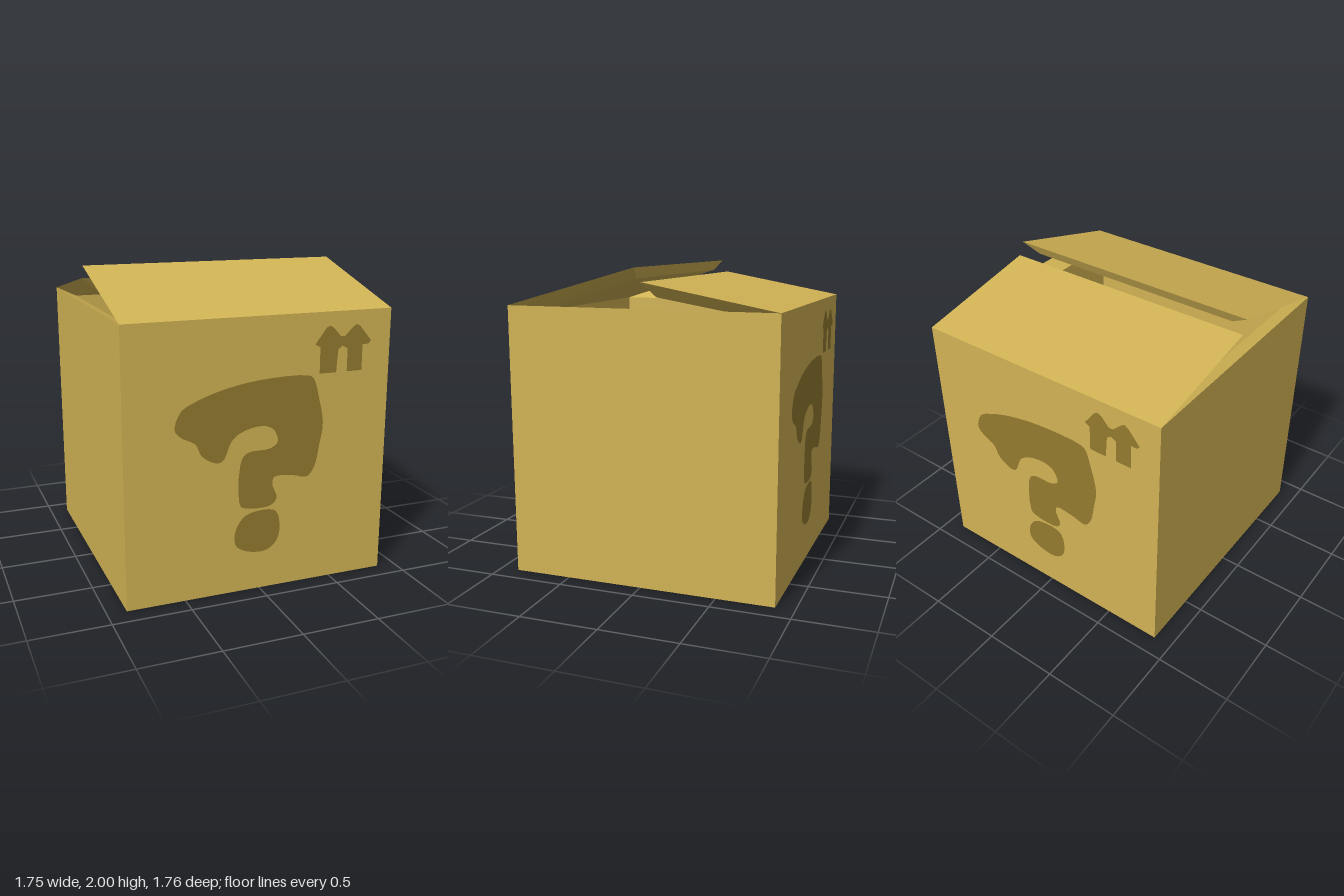
import * as THREE from 'three';

const OUT = 0.877, IN = 0.76, RIM = 1.757, INNER_RIM = 1.705, FLOOR = 0.12;

// four corners, counter-clockwise from above; front and back edges have their own height
const ring = (x, zFront, yFront, zBack = -zFront, yBack = yFront) => [
  [x, yFront, zFront], [x, yBack, zBack], [-x, yBack, zBack], [-x, yFront, zFront],
];

// flat-faced solid lofted through four-cornered rings, capped at both ends
function loft(rings) {
  const pos = [];
  const quad = (a, b, c, d) => [a, b, c, a, c, d].forEach((p) => pos.push(...p));
  quad(...[...rings[0]].reverse());
  for (let r = 0; r < rings.length - 1; r++) {
    const a = rings[r], b = rings[r + 1];
    for (let i = 0; i < 4; i++) {
      const j = (i + 1) % 4;
      quad(a[i], a[j], b[j], b[i]);
    }
  }
  quad(...rings[rings.length - 1]);
  const g = new THREE.BufferGeometry();
  g.setAttribute('position', new THREE.Float32BufferAttribute(pos, 3));
  g.computeVertexNormals();
  return g;
}

// rounded outline through points, or straight-edged when not smooth
function outline(points, smooth) {
  let pts = points.map(([x, y]) => new THREE.Vector2(x, y));
  if (smooth) {
    const curve = new THREE.CatmullRomCurve3(
      pts.map((p) => new THREE.Vector3(p.x, p.y, 0)), true, 'centripetal');
    pts = curve.getPoints(120).slice(0, -1).map((p) => new THREE.Vector2(p.x, p.y));
  }
  return new THREE.ShapeGeometry(new THREE.Shape(pts));
}

const HOOK = [
  [0.31, 1.37], [0, 1.37], [-0.25, 1.33], [-0.42, 1.275], [-0.52, 1.22], [-0.56, 1.11],
  [-0.52, 1.06], [-0.43, 1.01], [-0.39, 0.93], [-0.29, 0.875], [-0.25, 0.89], [-0.2, 1.0],
  [-0.14, 1.05], [0, 1.08], [0.08, 1.05], [0.11, 0.97], [0.06, 0.93], [-0.085, 0.92],
  [-0.13, 0.88], [-0.14, 0.585], [-0.11, 0.56], [0.07, 0.555], [0.11, 0.6], [0.08, 0.69],
  [0.09, 0.74], [0.22, 0.735], [0.32, 0.715], [0.37, 0.78], [0.4, 0.92], [0.42, 1.05],
  [0.385, 1.23], [0.345, 1.35],
];
const DOT = [
  [-0.085, 0.515], [0.1, 0.515], [0.135, 0.4], [0.11, 0.305], [0.04, 0.255],
  [-0.085, 0.265], [-0.16, 0.31], [-0.175, 0.37], [-0.15, 0.455],
];
const ARROWS = [
  [0.425, 1.66], [0.45, 1.67], [0.475, 1.655], [0.525, 1.6], [0.555, 1.6], [0.61, 1.655],
  [0.635, 1.67], [0.66, 1.655], [0.74, 1.56], [0.72, 1.54], [0.68, 1.54], [0.68, 1.375],
  [0.575, 1.375], [0.575, 1.52], [0.54, 1.54], [0.51, 1.52], [0.5, 1.375], [0.385, 1.375],
  [0.385, 1.54], [0.35, 1.56],
];

export function createModel() {
  const cardboard = new THREE.MeshStandardMaterial({ name: 'cardboard', color: 0xd1b354 });
  const print = new THREE.MeshStandardMaterial({ name: 'brown print', color: 0x947b2f });
  const model = new THREE.Group();
  model.name = 'cardboardBox';
  const add = (parent, name, geometry, material) => {
    const mesh = new THREE.Mesh(geometry, material);
    mesh.name = name;
    parent.add(mesh);
    return mesh;
  };

  // open body: outside walls, rim, inside walls, floor
  add(model, 'boxBody', loft([
    ring(OUT, OUT, 0), ring(OUT, OUT, RIM), ring(IN, IN, INNER_RIM), ring(IN, IN, FLOOR),
  ]), cardboard);

  // half-open flaps with bevelled undersides
  add(model, 'frontFlap', loft([
    ring(IN, IN, INNER_RIM, 0.05, 1.93), ring(OUT, OUT, RIM, 0.015, 2.0),
  ]), cardboard);
  add(model, 'backFlap', loft([
    ring(IN, -0.08, 1.82, -IN, INNER_RIM), ring(OUT, -0.025, 1.915, -OUT, RIM),
  ]), cardboard);

  // printed marks on the front and back walls
  const marks = {
    hookMark: outline(HOOK, true),
    dotMark: outline(DOT, true),
    upArrows: outline(ARROWS, false),
  };
  for (const [side, turn] of [['front', 0], ['back', Math.PI]]) {
    const group = new THREE.Group();
    group.name = side + 'Print';
    group.rotation.y = turn;
    for (const [name, geometry] of Object.entries(marks)) {
      add(group, name, geometry, print).position.z = OUT + 0.003;
    }
    model.add(group);
  }

  // two printed stripes on the floor inside
  for (const x of [-0.64, -0.4]) {
    const stripe = add(model, 'floorStripe', new THREE.PlaneGeometry(0.14, 0.2), print);
    stripe.rotation.x = -Math.PI / 2;
    stripe.position.set(x, FLOOR + 0.003, 0);
  }
  return model;
}
